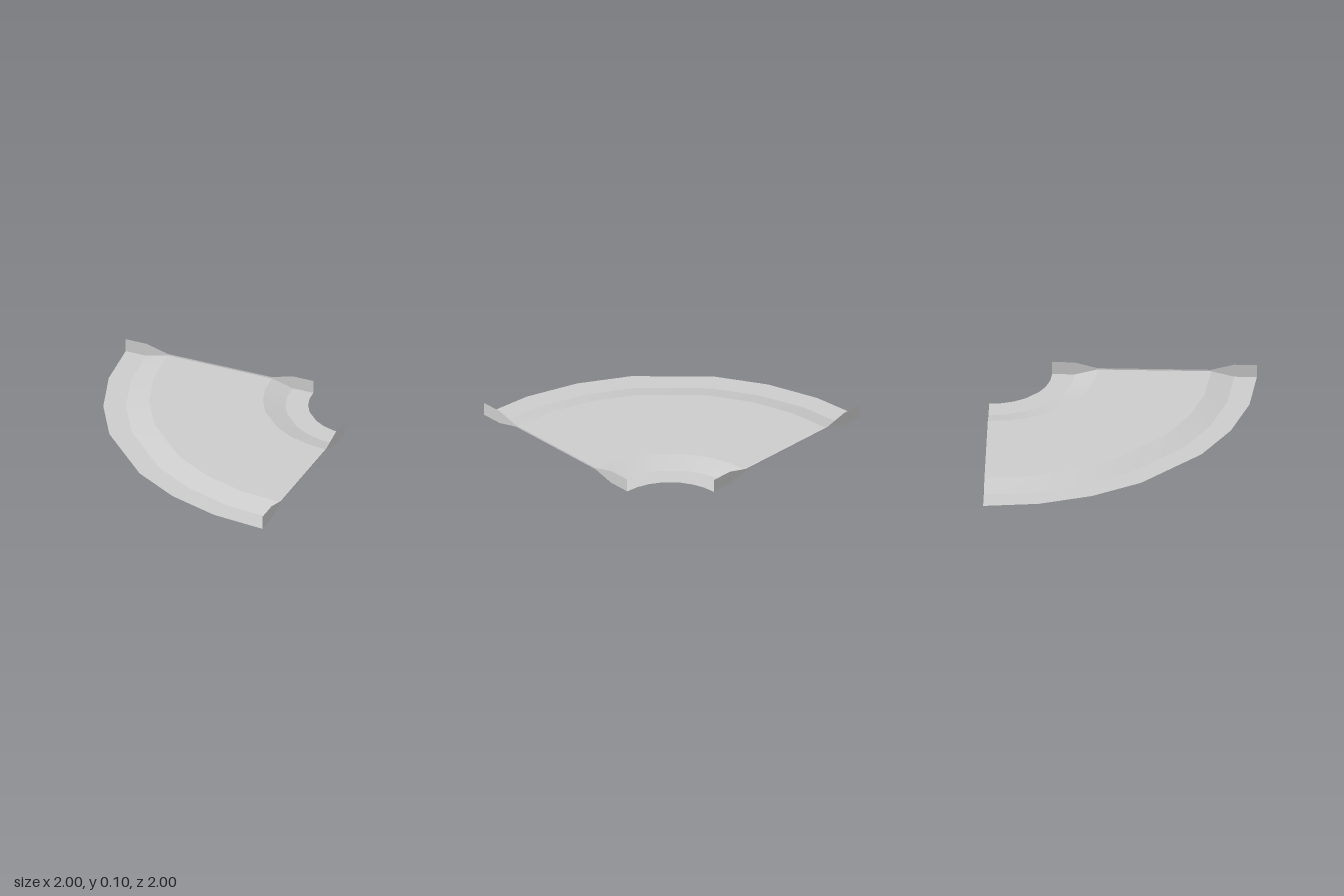
import * as THREE from 'three';

// Quarter-turn curved ramp piece, swept around the corner at (1, -1)
const CENTRE_X = 1, CENTRE_Z = -1;
const ANGLES = [0, 12, 24, 36, 54, 66, 78, 90].map(THREE.MathUtils.degToRad);

// Radius and height across the deck: low rim, slope, raised middle, slope, low rim
const DECK = [[0.46, 0], [0.63, 0], [0.8, 0.045], [1.655, 0.045], [1.83, 0], [2, 0]];
// Upper edge of the end walls
const WALL_TOP = [[0.46, 0.104], [0.63, 0.104], [0.8, 0.057], [1.655, 0.057], [1.83, 0.104], [2, 0.104]];

// One ring-shaped strip, smooth along the curve, sharp against its neighbours
function band([r0, y0], [r1, y1]) {
  const positions = [], index = [];
  ANGLES.forEach((a, i) => {
    for (const [r, y] of [[r0, y0], [r1, y1]]) {
      positions.push(CENTRE_X - r * Math.cos(a), y, CENTRE_Z + r * Math.sin(a));
    }
    if (i < ANGLES.length - 1) {
      const k = 2 * i;
      index.push(k, k + 1, k + 2, k + 1, k + 3, k + 2);
    }
  });
  const geometry = new THREE.BufferGeometry();
  geometry.setAttribute('position', new THREE.Float32BufferAttribute(positions, 3));
  geometry.setIndex(index);
  geometry.computeVertexNormals();
  return geometry;
}

export function createModel() {
  const model = new THREE.Group();
  model.name = 'curvedRamp';
  const grey = new THREE.MeshStandardMaterial({ color: 0xcccccc, side: THREE.DoubleSide });
  grey.name = 'light grey';

  const add = (parent, name, geometry) => {
    const mesh = new THREE.Mesh(geometry, grey);
    mesh.name = name;
    parent.add(mesh);
    return mesh;
  };

  // Deck strips from the inner rim to the outer rim
  const deck = new THREE.Group();
  deck.name = 'deck';
  model.add(deck);
  const names = ['innerRim', 'innerSlope', 'raisedMiddle', 'outerSlope', 'outerRim'];
  names.forEach((name, i) => add(deck, name, band(DECK[i], DECK[i + 1])));

  // Thin end walls, standing on the deck edge
  const outline = [...DECK, ...[...WALL_TOP].reverse()].map(([r, y]) => new THREE.Vector2(r, y));
  const wall = new THREE.ShapeGeometry(new THREE.Shape(outline));
  const backWall = add(model, 'backWall', wall);
  backWall.rotation.y = Math.PI;
  backWall.position.set(CENTRE_X, 0, CENTRE_Z);
  const sideWall = add(model, 'sideWall', wall);
  sideWall.rotation.y = -Math.PI / 2;
  sideWall.position.set(CENTRE_X, 0, CENTRE_Z);

  return model;
}
